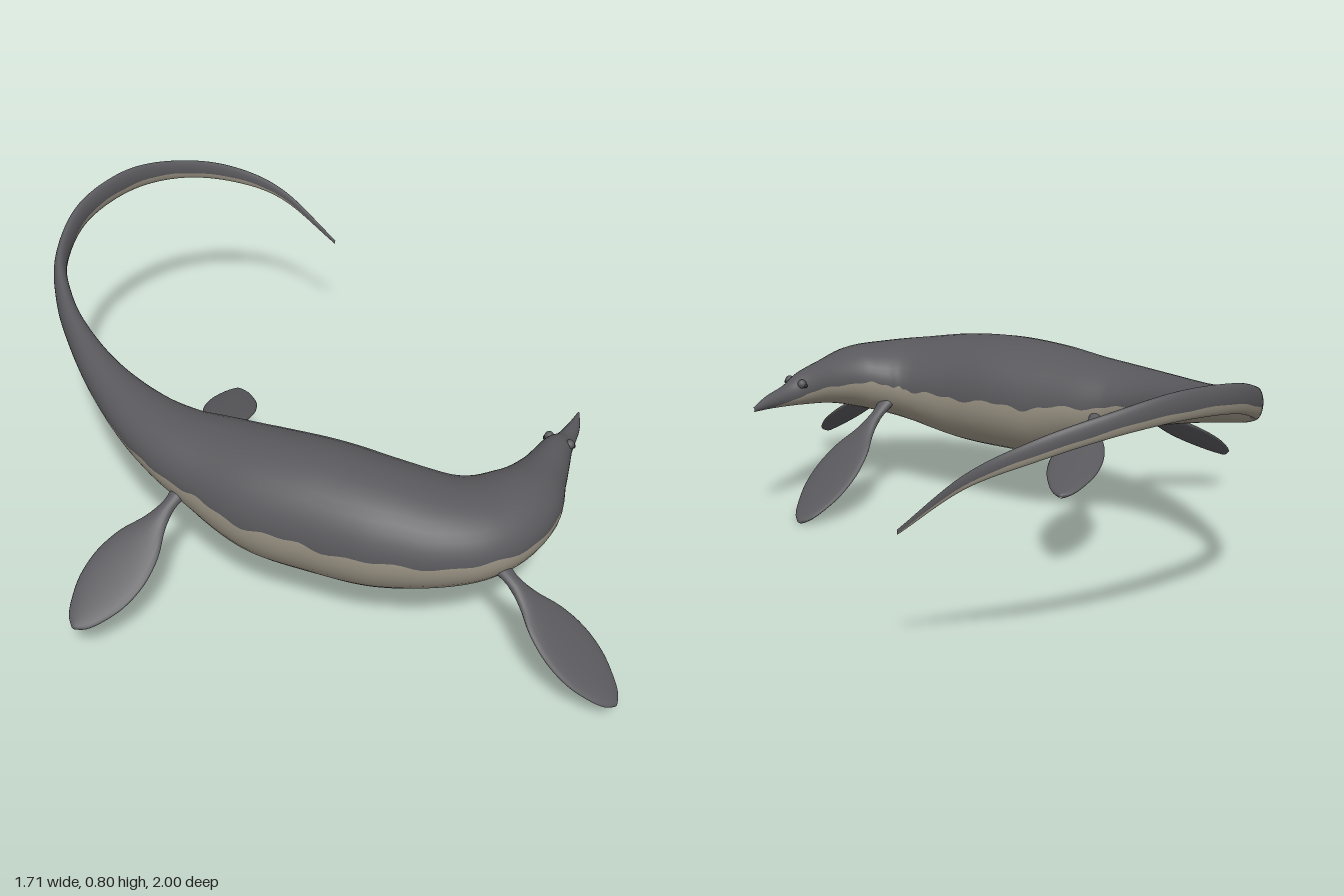
import * as THREE from 'three';

const V = (x, y, z) => new THREE.Vector3(x, y, z);
const UP = V(0, 1, 0);

const hide = new THREE.MeshStandardMaterial({ color: 0x59595d });
hide.name = 'dark grey hide';
const belly = new THREE.MeshStandardMaterial({ color: 0x9a9384 });
belly.name = 'pale belly';
const eyeColor = new THREE.MeshStandardMaterial({ color: 0x2c2c2f });
eyeColor.name = 'dark eye';

// Skin over oval rings. ring(t) gives centre c, side and up axes s and u,
// half sizes w and h, and split: the height (-1..1) where the back meets the belly.
function loft(ring, steps, half) {
  const n = half * 2;
  const pos = [], back = [], under = [];
  for (let i = 0; i <= steps; i++) {
    const { c, s, u, w, h, split } = ring(i / steps);
    const a0 = Math.asin(THREE.MathUtils.clamp(split, -0.98, 0.98));
    for (let j = 0; j < n; j++) {
      const a = j < half
        ? a0 + (Math.PI - 2 * a0) * j / half
        : Math.PI - a0 + (Math.PI + 2 * a0) * (j - half) / half;
      const p = c.clone().addScaledVector(s, w * Math.cos(a)).addScaledVector(u, h * Math.sin(a));
      pos.push(p.x, p.y, p.z);
      if (i === steps) continue;
      const k = (j + 1) % n, r = i * n, q = r + n;
      (j < half ? back : under).push(r + j, r + k, q + k, r + j, q + k, q + j);
    }
  }
  const g = new THREE.BufferGeometry();
  g.setAttribute('position', new THREE.Float32BufferAttribute(pos, 3));
  g.setIndex([...back, ...under]);
  g.addGroup(0, back.length, 0);
  g.addGroup(back.length, under.length, 1);
  g.computeVertexNormals();
  return g;
}

// Snout to tail tip: x, z, half width, top, bottom, share of height that is pale
const BODY = [
  [0.81, 0.08, 0.004, 0.42, 0.405, 0.05],
  [0.785, 0.16, 0.02, 0.44, 0.395, 0.15],
  [0.75, 0.235, 0.032, 0.457, 0.385, 0.32],
  [0.715, 0.3, 0.05, 0.487, 0.375, 0.45],
  [0.66, 0.42, 0.08, 0.505, 0.35, 0.5],
  [0.59, 0.53, 0.13, 0.525, 0.31, 0.52],
  [0.49, 0.6, 0.165, 0.53, 0.275, 0.53],
  [0.37, 0.62, 0.18, 0.545, 0.245, 0.53],
  [0.2, 0.585, 0.195, 0.575, 0.21, 0.52],
  [0.03, 0.52, 0.2, 0.59, 0.205, 0.53],
  [-0.13, 0.455, 0.195, 0.585, 0.215, 0.53],
  [-0.27, 0.385, 0.17, 0.572, 0.27, 0.55],
  [-0.4, 0.32, 0.135, 0.565, 0.34, 0.5],
  [-0.52, 0.225, 0.1, 0.57, 0.4, 0.45],
  [-0.645, 0.08, 0.065, 0.59, 0.46, 0.42],
  [-0.745, -0.08, 0.04, 0.625, 0.515, 0.38],
  [-0.81, -0.23, 0.027, 0.665, 0.565, 0.36],
  [-0.838, -0.39, 0.019, 0.718, 0.625, 0.35],
  [-0.79, -0.58, 0.018, 0.778, 0.692, 0.35],
  [-0.66, -0.765, 0.016, 0.8, 0.718, 0.35],
  [-0.5, -0.895, 0.014, 0.77, 0.702, 0.35],
  [-0.32, -0.972, 0.011, 0.71, 0.65, 0.33],
  [-0.14, -0.988, 0.008, 0.61, 0.57, 0.3],
  [0.05, -0.94, 0.003, 0.43, 0.415, 0.2],
];

function makeBody() {
  const smooth = (points) => new THREE.CatmullRomCurve3(points, false, 'catmullrom', 0.5);
  const spine = smooth(BODY.map(([x, z, , top, bot]) => V(x, (top + bot) / 2, z)));
  const sizes = smooth(BODY.map(([, , w, top, bot, pale]) => V(w, (top - bot) / 2, pale)));
  const ring = (t) => {
    const dir = spine.getTangent(t).setY(0).normalize();
    const size = sizes.getPoint(t);
    // slightly ragged colour border
    const ragged = 0.03 * Math.sin(t * 97) + 0.025 * Math.sin(t * 211 + 1);
    return {
      c: spine.getPoint(t), s: UP.clone().cross(dir), u: UP,
      w: Math.max(size.x, 0.002), h: Math.max(size.y, 0.004),
      split: 2 * size.z - 1 + ragged,
    };
  };
  const mesh = new THREE.Mesh(loft(ring, 184, 18), [hide, belly]);
  mesh.name = 'body';
  return mesh;
}

// Paddle: narrow stalk widening to a leaf-shaped blade
const BLADE = new THREE.SplineCurve([
  [0, 0.03], [0.12, 0.022], [0.25, 0.04], [0.4, 0.078], [0.57, 0.097],
  [0.74, 0.09], [0.88, 0.062], [0.96, 0.035], [1, 0.004],
].map(([x, y]) => new THREE.Vector2(x, y)));

function makeFlipper(name, root, tip, chord, scale) {
  const dir = tip.clone().sub(root).normalize();
  const s = chord || UP.clone().cross(dir);
  s.addScaledVector(dir, -s.dot(dir)).normalize();
  const u = dir.clone().cross(s);
  const ring = (t) => {
    const p = BLADE.getPoint(t);
    return {
      c: root.clone().lerp(tip, p.x), s, u, w: p.y * scale,
      h: Math.min(p.y * 0.7, 0.019 - 0.011 * t), split: 0,
    };
  };
  const mesh = new THREE.Mesh(loft(ring, 32, 10), [hide, hide]);
  mesh.name = name;
  return mesh;
}

export function createModel() {
  const model = new THREE.Group();
  model.name = 'marineReptile';
  model.add(makeBody());

  model.add(
    makeFlipper('frontLeftFlipper', V(0.52, 0.36, 0.725), V(0.845, 0.07, 0.985), null, 1),
    makeFlipper('frontRightFlipper', V(0.47, 0.345, 0.48), V(0.685, 0.008, 0.13), null, 1),
    makeFlipper('rearLeftFlipper', V(-0.39, 0.405, 0.455), V(-0.69, 0.142, 0.775), V(0.78, -0.22, 0.57), 0.95),
    makeFlipper('rearRightFlipper', V(-0.305, 0.425, 0.25), V(-0.263, 0.288, 0.21 - 0.42), null, 0.86),
  );

  // Eyes with low brows on both sides of the head
  for (const [name, x, z] of [['left', 0.763, 0.297], ['right', 0.692, 0.256]]) {
    const brow = new THREE.Mesh(new THREE.SphereGeometry(0.015, 14, 10), hide);
    brow.name = name + 'Brow';
    brow.position.set(x - (x - 0.728) * 0.2, 0.459, z);
    const eye = new THREE.Mesh(new THREE.SphereGeometry(0.008, 12, 8), eyeColor);
    eye.name = name + 'Eye';
    eye.position.set(x + (x - 0.728) * 0.1, 0.453, z);
    model.add(brow, eye);
  }
  return model;
}
